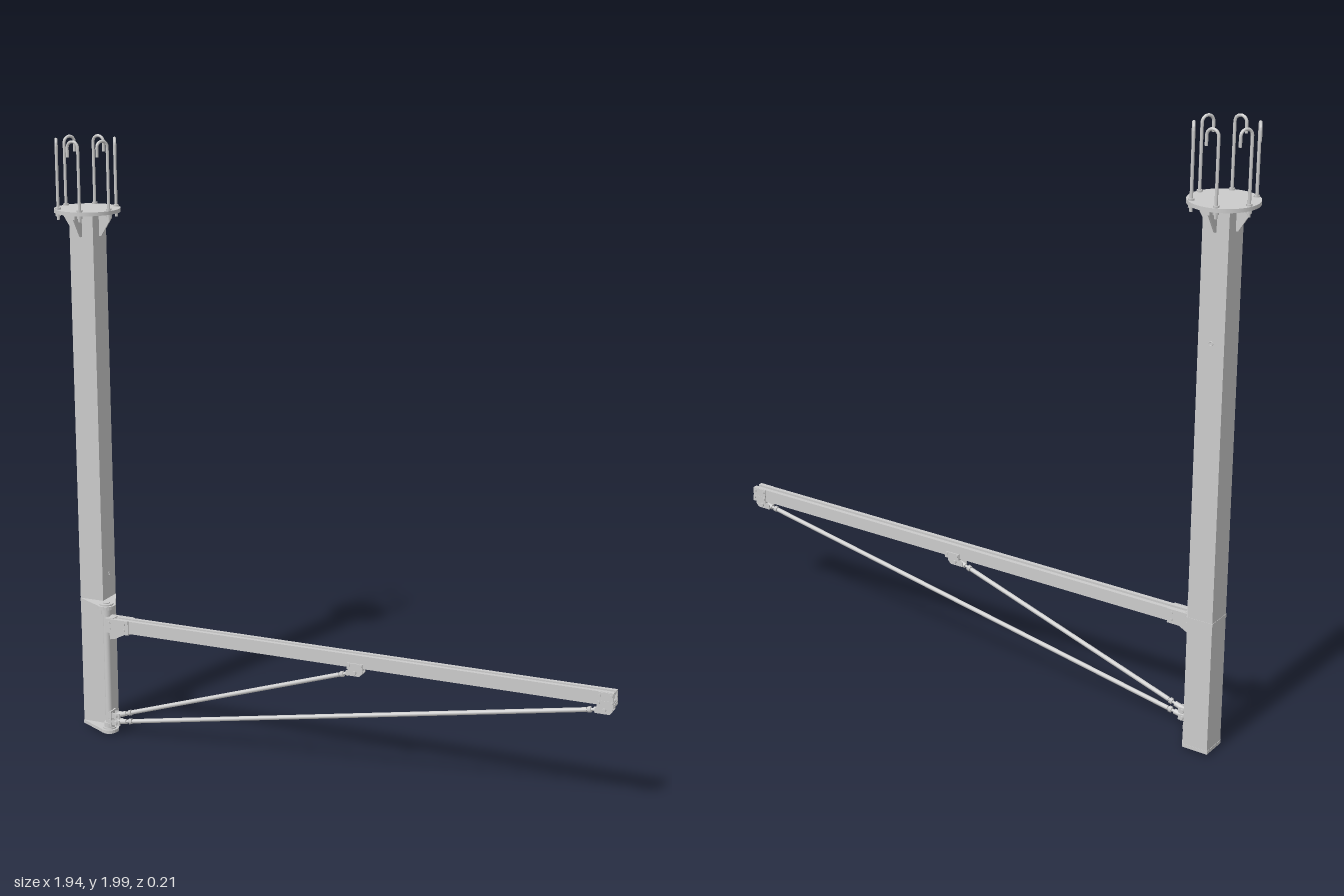
import * as THREE from 'three';

const COL_X = -0.863, HALF = 0.043;   // column centre and half width
const PX = -0.792, PZ = 0.071;        // hinge axis, also the boom's z

export function createModel() {
  const root = new THREE.Group();
  const mat = new THREE.MeshStandardMaterial({ color: 0xcccccc });

  const add = (name, geo, x = 0, y = 0, z = 0, parent = root) => {
    const m = new THREE.Mesh(geo, mat);
    m.name = name;
    m.position.set(x, y, z);
    parent.add(m);
    return m;
  };
  const box = (name, w, h, d, x, y, z, parent) => add(name, new THREE.BoxGeometry(w, h, d), x, y, z, parent);
  const cyl = (name, r, h, x, y, z, seg = 16, parent = root) => add(name, new THREE.CylinderGeometry(r, r, h, seg), x, y, z, parent);
  const rod = (name, a, b, r, seg = 12) => {
    const d = b.clone().sub(a);
    const m = cyl(name, r, d.length(), 0, 0, 0, seg);
    m.position.copy(a).addScaledVector(d, 0.5);
    m.quaternion.setFromUnitVectors(new THREE.Vector3(0, 1, 0), d.normalize());
    return m;
  };
  const extrude = (pts, depth) => new THREE.ExtrudeGeometry(
    new THREE.Shape(pts.map(p => new THREE.Vector2(...p))), { depth, bevelEnabled: false });

  // Square column with two small bolt holes
  box('column', HALF * 2, 1.75, HALF * 2, COL_X, 0.89, 0);
  const holeA = add('columnHoleRim', new THREE.TorusGeometry(0.006, 0.0015, 6, 16), COL_X + HALF, 0.545, 0);
  holeA.rotation.y = Math.PI / 2;
  add('columnHoleRim', new THREE.TorusGeometry(0.006, 0.0015, 6, 16), COL_X, 1.35, -HALF);

  // Round mounting plate with triangular ribs
  cyl('mountingPlate', 0.107, 0.012, COL_X, 1.767, 0, 48);
  for (let i = 0; i < 4; i++) {
    const pivot = new THREE.Group();
    pivot.name = 'plateRib';
    pivot.position.set(COL_X, 0, 0);
    pivot.rotation.y = i * Math.PI / 2;
    add('rib', extrude([[HALF, 1.685], [0.05, 1.685], [0.088, 1.745], [0.088, 1.762], [HALF, 1.762]], 0.006), 0, 0, -0.003, pivot);
    root.add(pivot);
  }

  // Six hooked anchor bolts, each bent along the tangent of the plate
  const hook = new THREE.CurvePath();
  const v = (x, y) => new THREE.Vector3(x, y, 0);
  const R = 0.019;
  const arc = [];
  for (let i = 0; i <= 8; i++) {
    const a = Math.PI * (1 - i / 8);
    arc.push(v(-0.006 + R * Math.cos(a), 1.976 + R * Math.sin(a)));
  }
  hook.add(new THREE.LineCurve3(v(-0.025, 1.742), arc[0]));
  for (let i = 0; i < 8; i++) hook.add(new THREE.LineCurve3(arc[i], arc[i + 1]));
  hook.add(new THREE.LineCurve3(arc[8], v(0.013, 1.945)));
  const hookGeo = new THREE.TubeGeometry(hook, 90, 0.005, 8);
  for (let i = 0; i < 6; i++) {
    const g = new THREE.Group();
    g.name = 'anchorBolt';
    g.position.set(COL_X, 0, 0);
    g.rotation.y = i * Math.PI / 3;
    add('hookRod', hookGeo, 0, 0, -0.093, g);
    cyl('rodEnd', 0.005, 0.004, -0.025, 1.742, -0.093, 8, g);
    cyl('lowerNut', 0.009, 0.009, -0.025, 1.7565, -0.093, 6, g);
    cyl('upperNut', 0.009, 0.006, -0.025, 1.776, -0.093, 6, g);
    root.add(g);
  }

  // Hinge plates: column outline drawn out to a rounded nose at the hinge axis
  const e = HALF + 0.001, nose = [];
  for (let i = 0; i <= 10; i++) {
    const a = -Math.PI / 4 + (i / 10 - 0.5) * Math.PI;
    nose.push([PX + 0.031 * Math.cos(a), -PZ + 0.031 * Math.sin(a)]);
  }
  const outline = [...nose, [COL_X + e, e], [COL_X - e, e], [COL_X - e, -e]];
  outline.sort((p, q) => Math.atan2(p[1] + 0.02, p[0] + 0.835) - Math.atan2(q[1] + 0.02, q[0] + 0.835));
  for (const y of [0.013, 0.45]) {
    const p = add('hingePlate', extrude(outline, 0.011), 0, y, 0);
    p.rotation.x = -Math.PI / 2;
    cyl('hingeBoss', 0.023, 0.02, PX, y + 0.0055, PZ, 24);
    cyl('hingePinHead', 0.012, 0.026, PX, y + 0.0055, PZ, 6);
  }
  cyl('hingePost', 0.0125, 0.425, PX, 0.237, PZ, 24);
  cyl('hingeCollar', 0.018, 0.02, PX, 0.035, PZ, 24);
  cyl('hingeCollar', 0.018, 0.02, PX, 0.437, PZ, 24);

  // Boom: hollow rail with a slot along its upper side
  const w = 0.02, b = 0.376, t = 0.419, s = 0.006, k = 0.004;
  const rail = add('boomRail', extrude([
    [-w, b], [w, b], [w, t], [s, t], [s, t - 0.01], [s + k, t - 0.01], [s + k, t - k], [w - k, t - k],
    [w - k, b + k], [k - w, b + k], [k - w, t - k], [-s - k, t - k], [-s - k, t - 0.01], [-s, t - 0.01], [-s, t], [-w, t],
  ], 1.735), -0.768, 0, PZ);
  rail.rotation.y = Math.PI / 2;

  // Boom root: side cheeks, head block and corner gusset
  box('boomRootBlock', 0.03, 0.048, 0.03, -0.773, 0.397, PZ);
  for (const side of [-1, 1]) box('boomRootCheek', 0.085, 0.046, 0.004, -0.742, 0.397, PZ + side * 0.022);
  box('boomRootSole', 0.085, 0.005, 0.044, -0.742, 0.373, PZ);
  add('boomRootGusset', extrude([[-0.785, 0.34], [-0.76, 0.345], [-0.72, 0.366], [-0.72, 0.374], [-0.785, 0.374]], 0.008), 0, 0, PZ - 0.004);

  // Side bolts
  const bolt = (x, y) => {
    const m = cyl('clampBolt', 0.005, 0.056, x, y, PZ, 6);
    m.rotation.x = Math.PI / 2;
  };
  for (const x of [-0.77, -0.715]) for (const y of [0.386, 0.408]) bolt(x, y);

  // Strut clamps under the boom
  for (const x of [0.117, 0.941]) {
    for (const side of [-1, 1]) {
      box('strutClampCheek', 0.054, 0.02, 0.004, x, 0.381, PZ + side * 0.022);
      add('strutLug', extrude([[x - 0.035, 0.345], [x + 0.012, 0.345], [x + 0.022, 0.356], [x + 0.022, 0.372], [x - 0.018, 0.372], [x - 0.035, 0.36]], 0.004), 0, 0, PZ + side * 0.012 - 0.002);
    }
    box('strutClampSole', 0.054, 0.005, 0.048, x, 0.3725, PZ);
    for (const dx of [-0.02, 0.02]) bolt(x + dx, 0.384);
  }
  for (const side of [-1, 1]) box('boomEndCheek', 0.052, 0.042, 0.003, 0.941, 0.397, PZ + side * 0.0215);
  for (const dx of [-0.018, 0.018]) bolt(0.941 + dx, 0.408);

  // Two tension struts with threaded ends, nuts and pinned lugs
  for (const [y0, x1, y1] of [[0.073, 0.112, 0.357], [0.049, 0.936, 0.357]]) {
    const a = new THREE.Vector3(-0.76, y0, PZ), c = new THREE.Vector3(x1, y1, PZ);
    const L = a.distanceTo(c), at = d => a.clone().lerp(c, d / L);
    rod('strutRod', a, c, 0.0045);
    rod('strutTube', at(0.06), at(L - 0.06), 0.0075);
    rod('strutNut', at(0.045), at(0.056), 0.01, 6);
    rod('strutNut', at(L - 0.056), at(L - 0.045), 0.01, 6);
    rod('strutFork', at(0), at(0.035), 0.009);
    rod('strutFork', at(L - 0.035), at(L), 0.009);
    for (const p of [a, c]) {
      const pin = cyl('strutPin', 0.007, 0.042, p.x, p.y, PZ, 12);
      pin.rotation.x = Math.PI / 2;
    }
    for (const side of [-1, 1]) box('strutFootLug', 0.045, 0.019, 0.004, -0.768, y0, PZ + side * 0.012);
  }
  box('strutFootPlate', 0.006, 0.055, 0.034, -0.779, 0.061, PZ);

  // Settle the pin heads on the ground plane
  const bounds = new THREE.Box3().setFromObject(root);
  root.children.forEach(m => { m.position.y -= bounds.min.y; });
  return root;
}
